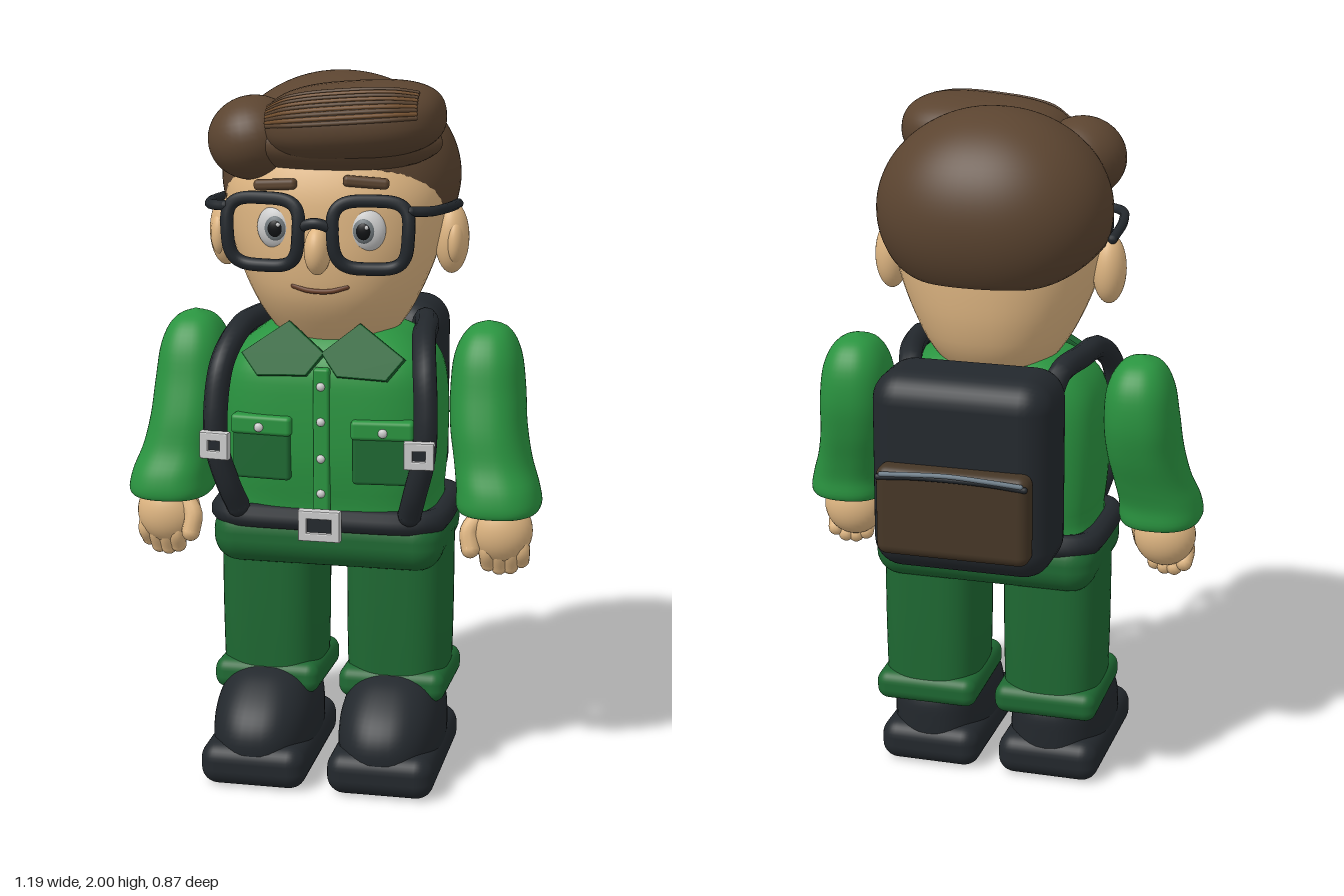
import * as THREE from 'three';
import { RoundedBoxGeometry } from 'three/addons/geometries/RoundedBoxGeometry.js';

const COLORS = {
  green: 0x2a9440, darkGreen: 0x1e6832, black: 0x23282d, skin: 0xdfb682, hair: 0x5b4430, strand: 0x74502f,
  brown: 0x453626, metal: 0xc4c4c4, white: 0xf2f2f2, grey: 0x70787c, pupil: 0x101214, mouth: 0x6a3f28, zip: 0x6c7c88,
};
const mats = {};
for (const k in COLORS) mats[k] = new THREE.MeshStandardMaterial({ color: COLORS[k] });

const V = (x, y, z) => new THREE.Vector3(x, y, z);
const spow = (v, n) => Math.sign(v) * Math.pow(Math.abs(v), 2 / n);

// Surface closed around u (angle), running along v (0..1)
function grid(fn, nu, nv) {
  const pos = [], idx = [];
  for (let j = 0; j <= nv; j++)
    for (let i = 0; i < nu; i++) pos.push(...fn((i / nu) * Math.PI * 2, j / nv));
  for (let j = 0; j < nv; j++)
    for (let i = 0; i < nu; i++) {
      const a = j * nu + i, b = j * nu + ((i + 1) % nu);
      idx.push(a, a + nu, b, b, a + nu, b + nu);
    }
  const g = new THREE.BufferGeometry();
  g.setAttribute('position', new THREE.Float32BufferAttribute(pos, 3));
  g.setIndex(idx);
  g.computeVertexNormals();
  return g;
}

// Smooth loft through rows of [y, centreX, centreZ, radiusX, radiusZ], from bottom to top
function loft(rows, n = 2, nv = 32) {
  const c = new THREE.CatmullRomCurve3(rows.map(r => V(r[0], r[1], r[2])), false, 'catmullrom');
  const w = new THREE.CatmullRomCurve3(rows.map(r => V(r[3], r[4], 0)), false, 'catmullrom');
  return grid((a, t) => {
    const p = c.getPoint(t), q = w.getPoint(t);
    return [p.y + Math.max(0, q.x) * spow(Math.cos(a), n), p.x, p.z + Math.max(0, q.y) * spow(Math.sin(a), n)];
  }, 48, nv);
}

export function createModel() {
  const root = new THREE.Group();
  const add = (name, geo, mat, p = [0, 0, 0], r = [0, 0, 0], parent = root) => {
    const m = new THREE.Mesh(geo, mats[mat]);
    m.name = name;
    m.position.set(...p);
    m.rotation.set(...r);
    parent.add(m);
    return m;
  };
  const ball = (name, mat, p, s, r, parent) =>
    add(name, new THREE.SphereGeometry(1, 32, 20), mat, p, r, parent).scale.set(...s);
  const box = (name, mat, size, rad, p, r) =>
    add(name, new RoundedBoxGeometry(...size, 4, rad), mat, p, r);
  const tube = (name, mat, pts, rad, closed = false, parent = root, seg = 48) => {
    const c = new THREE.CatmullRomCurve3(pts.map(p => V(...p)), closed);
    add(name, new THREE.TubeGeometry(c, seg, rad, 10, closed), mat, [0, 0, 0], [0, 0, 0], parent);
    if (!closed) for (const p of [pts[0], pts[pts.length - 1]])
      add(name + 'End', new THREE.SphereGeometry(rad, 10, 8), mat, p, [0, 0, 0], parent);
  };
  // Rectangular buckle frame with a dark middle
  const buckle = (name, w, h, p, r) => {
    const ring = [[-1, -1], [1, -1], [1, 1], [-1, 1]];
    const s = new THREE.Shape(ring.map(([x, y]) => new THREE.Vector2(x * w / 2, y * h / 2)));
    s.holes.push(new THREE.Path(ring.map(([x, y]) => new THREE.Vector2(x * (w / 2 - 0.016), y * (h / 2 - 0.016)))));
    add(name, new THREE.ExtrudeGeometry(s, { depth: 0.022, bevelSize: 0.004, bevelThickness: 0.004, bevelSegments: 2 }), 'metal', p, r);
    box(name + 'Core', 'black', [w - 0.02, h - 0.02, 0.03], 0.005, p, r);
  };

  // Torso, hips and belt
  add('torso', loft([[0.74, 0, 0.09, 0, 0], [0.745, 0, 0.09, 0.28, 0.18], [0.82, 0, 0.095, 0.3, 0.2], [0.95, 0, 0.1, 0.31, 0.213],
    [1.1, 0, 0.1, 0.31, 0.213], [1.2, 0, 0.1, 0.29, 0.2], [1.27, 0, 0.09, 0.23, 0.16], [1.305, 0, 0.09, 0.14, 0.1], [1.31, 0, 0.09, 0, 0]], 3.6), 'green');
  box('hips', 'darkGreen', [0.66, 0.17, 0.43], 0.075, [0, 0.705, 0.085]);
  const beltPts = [];
  for (let i = 0; i < 40; i++) {
    const a = (i / 40) * Math.PI * 2;
    beltPts.push([0.312 * spow(Math.cos(a), 6), 0.768, 0.088 + 0.195 * spow(Math.sin(a), 6)]);
  }
  tube('belt', 'black', beltPts, 0.035, true, root, 120);
  buckle('beltBuckle', 0.11, 0.08, [0, 0.768, 0.33]);

  // Shirt front
  box('placket', 'green', [0.045, 0.42, 0.03], 0.008, [0, 1.0, 0.31]);
  for (const y of [0.855, 0.955, 1.06, 1.16]) ball('shirtButton', 'metal', [0, y, 0.325], [0.012, 0.012, 0.01]);

  // Head
  add('head', loft([[1.23, 0, 0.08, 0, 0], [1.24, 0, 0.08, 0.12, 0.12], [1.31, 0, 0.08, 0.19, 0.19], [1.4, 0, 0.09, 0.24, 0.235],
    [1.5, 0, 0.092, 0.28, 0.252], [1.6, 0, 0.09, 0.305, 0.255], [1.7, 0, 0.085, 0.31, 0.25], [1.8, 0, 0.07, 0.27, 0.22],
    [1.9, 0, 0.05, 0.18, 0.15], [1.95, 0, 0.04, 0, 0]], 2.2), 'skin');
  ball('nose', 'skin', [0, 1.545, 0.36], [0.036, 0.066, 0.05]);
  tube('mouth', 'mouth', [[-0.075, 1.44, 0.325], [-0.03, 1.43, 0.334], [0.03, 1.43, 0.334], [0.075, 1.442, 0.325]], 0.007);

  // Hair cap with a lower edge that dips at the temples and the nape
  const ss = THREE.MathUtils.smoothstep;
  add('hairCap', grid((a, t) => {
    const w = Math.sin(a);
    const edge = 1.53 + 0.09 * ss(w, -0.9, 0.05) - 0.015 * ss(w, 0.2, 0.5) + 0.14 * ss(w, 0.66, 0.85);
    const lo = Math.asin((edge - 1.71) / 0.287);
    const phi = lo + (Math.PI / 2 - lo) * Math.max(0, (t - 0.06) / 0.94);
    const r = Math.cos(phi) * (t < 0.03 ? 0.85 : 1);
    return [0.335 * r * spow(Math.cos(a), 2.2), 1.71 + 0.287 * Math.sin(phi), 0.037 + 0.277 * r * spow(w, 2.2)];
  }, 72, 34), 'hair');
  ball('fringe', 'hair', [0, 1.825, 0.21], [0.315, 0.09, 0.16]);
  ball('sideLock', 'hair', [-0.205, 1.83, 0.235], [0.125, 0.115, 0.135], [0, 0, 0.2]);

  // Swept quiff and its combed strands
  const quiff = new THREE.Group();
  quiff.name = 'quiff';
  quiff.position.set(0.08, 1.885, 0.245);
  quiff.rotation.set(0, 0, 0.08);
  root.add(quiff);
  const quiffPoint = (a, u, k = 1) => {
    const r = k * Math.pow(Math.max(0, 1 - Math.abs(u) ** 2.8), 1 / 2.8);
    return [0.245 * u, 0.105 * r * spow(Math.sin(a), 2.3), 0.182 * r * spow(Math.cos(a), 2.3)];
  };
  add('quiffBody', grid((a, t) => quiffPoint(a, -Math.cos(Math.PI * t)), 48, 36), 'hair', [0, 0, 0], [0, 0, 0], quiff);
  for (let i = 0; i < 9; i++) {
    const pts = [];
    for (let j = 0; j <= 8; j++) pts.push(quiffPoint(0.1 + i * 0.115, -0.9 + j * 0.21, 0.995));
    tube('strand', i % 2 ? 'strand' : 'hair', pts, 0.006, false, quiff, 32);
  }

  // Backpack
  box('backpack', 'black', [0.52, 0.575, 0.27], 0.085, [0, 1.028, -0.225]);
  box('backpackPocket', 'brown', [0.44, 0.26, 0.08], 0.03, [0, 0.94, -0.372]);
  tube('zipper', 'zip', [[-0.2, 1.05, -0.41], [-0.1, 1.062, -0.425], [0, 1.068, -0.43], [0.1, 1.062, -0.425], [0.2, 1.05, -0.41]], 0.007);
  tube('zipperFlap', 'black', [[-0.21, 1.04, -0.405], [-0.1, 1.053, -0.418], [0.1, 1.053, -0.418], [0.21, 1.04, -0.405]], 0.009);

  for (const s of [1, -1]) {
    // Shoe, leg and trouser cuff
    box('sole', 'black', [0.305, 0.125, 0.5], 0.05, [s * 0.183, 0.0625, 0.185]);
    add('shoe', loft([[0.05, s * 0.183, 0.185, 0.145, 0.238], [0.14, s * 0.183, 0.185, 0.148, 0.243], [0.21, s * 0.183, 0.168, 0.14, 0.222],
      [0.27, s * 0.183, 0.15, 0.112, 0.165], [0.3, s * 0.183, 0.145, 0.065, 0.1], [0.312, s * 0.183, 0.14, 0, 0]], 2.5, 24), 'black');
    add('leg', loft([[0.24, s * 0.183, 0.078, 0.143, 0.158], [0.45, s * 0.183, 0.078, 0.147, 0.162], [0.7, s * 0.183, 0.078, 0.148, 0.163]], 3.2, 8), 'darkGreen');
    box('trouserCuff', 'darkGreen', [0.308, 0.09, 0.336], 0.035, [s * 0.183, 0.263, 0.078], [-0.05, 0, 0]);

    // Sleeve
    add('sleeve', loft([[0.8, s * 0.47, 0.15, 0, 0], [0.79, s * 0.472, 0.15, 0.09, 0.11], [0.805, s * 0.475, 0.15, 0.118, 0.136], [0.86, s * 0.47, 0.145, 0.115, 0.134],
      [0.93, s * 0.452, 0.12, 0.108, 0.13], [1.02, s * 0.435, 0.095, 0.106, 0.138], [1.12, s * 0.428, 0.07, 0.104, 0.136],
      [1.22, s * 0.425, 0.06, 0.092, 0.12], [1.285, s * 0.425, 0.058, 0.058, 0.075], [1.312, s * 0.425, 0.058, 0, 0]], 2.5, 40), 'green');

    // Hand
    ball('palm', 'skin', [s * 0.482, 0.735, 0.17], [0.092, 0.095, 0.075]);
    [0.64, 0.63, 0.632, 0.65].forEach((y, i) =>
      tube('finger', 'skin', [[s * (0.445 + i * 0.032), 0.72, 0.195 - i * 0.004], [s * (0.45 + i * 0.032), 0.68, 0.205 - i * 0.006], [s * (0.452 + i * 0.03), y, 0.185 - i * 0.006]], 0.024, false, root, 10));
    tube('thumb', 'skin', [[s * 0.43, 0.78, 0.19], [s * 0.4, 0.74, 0.21], [s * 0.405, 0.69, 0.222]], 0.027, false, root, 10);

    // Collar flap, chest pocket
    const flap = new THREE.Shape([[0, 0.065], [0.1, 0.148], [0.225, 0.058], [0.18, 0], [0.045, 0.005]].map(([x, y]) => new THREE.Vector2(s * x, y)));
    add('collar', new THREE.ExtrudeGeometry(flap, { depth: 0.018, bevelSize: 0.004, bevelThickness: 0.006, bevelSegments: 2 }), 'darkGreen', [0, 1.18, 0.298], [-0.32, 0, 0]);
    box('chestPocket', 'darkGreen', [0.165, 0.18, 0.04], 0.01, [s * 0.17, 0.977, 0.303], [0, s * 0.08, 0]);
    box('pocketFlap', 'green', [0.175, 0.055, 0.05], 0.012, [s * 0.17, 1.042, 0.305], [0, s * 0.08, 0]);
    ball('pocketButton', 'metal', [s * 0.175, 1.038, 0.332], [0.013, 0.013, 0.009]);

    // Backpack strap
    tube('strap', 'black', [[s * 0.2, 1.2, -0.11], [s * 0.22, 1.275, -0.07], [s * 0.25, 1.29, 0.06], [s * 0.265, 1.28, 0.2], [s * 0.285, 1.21, 0.3],
      [s * 0.295, 1.1, 0.335], [s * 0.292, 0.98, 0.342], [s * 0.265, 0.87, 0.325], [s * 0.245, 0.8, 0.295]], 0.034);
    buckle('strapBuckle', 0.075, 0.068, [s * 0.285, 0.995, 0.372], [0, s * 0.1, 0]);

    // Ear, eye, eyebrow
    ball('ear', 'skin', [s * 0.322, 1.547, 0.085], [0.048, 0.1, 0.056]);
    ball('earInner', 'skin', [s * 0.335, 1.54, 0.11], [0.026, 0.062, 0.038]);
    ball('eyeWhite', 'white', [s * 0.122, 1.598, 0.31], [0.056, 0.062, 0.032]);
    ball('iris', 'grey', [s * 0.122, 1.598, 0.333], [0.031, 0.035, 0.013]);
    ball('pupil', 'pupil', [s * 0.122, 1.598, 0.34], [0.021, 0.024, 0.009]);
    ball('eyeGlint', 'white', [s * 0.122 + 0.01, 1.61, 0.347], [0.006, 0.006, 0.004]);
    box('eyebrow', 'hair', [0.125, 0.03, 0.03], 0.012, [s * 0.125, s > 0 ? 1.728 : 1.715, 0.318], [0, s * 0.2, s > 0 ? -0.08 : 0.08]);

    // Glasses
    const rim = [];
    for (let i = 0; i < 32; i++) {
      const a = (i / 32) * Math.PI * 2, y = spow(Math.sin(a), 3.6), x = spow(Math.cos(a), 3.6) * (1 + 0.05 * y);
      rim.push([s * (0.148 + 0.101 * x), 1.593 + 0.092 * y, 0.388 - 0.014 * y * y - 0.012 * (x + 1)]);
    }
    tube('glassesRim', 'black', rim, 0.018, true, root, 80);
    tube('glassesTemple', 'black', [[s * 0.255, 1.66, 0.36], [s * 0.3, 1.657, 0.33], [s * 0.328, 1.65, 0.22], [s * 0.335, 1.638, 0.06]], 0.014);
  }
  tube('glassesBridge', 'black', [[-0.05, 1.61, 0.385], [0, 1.625, 0.395], [0.05, 1.61, 0.385]], 0.015);

  return root;
}
